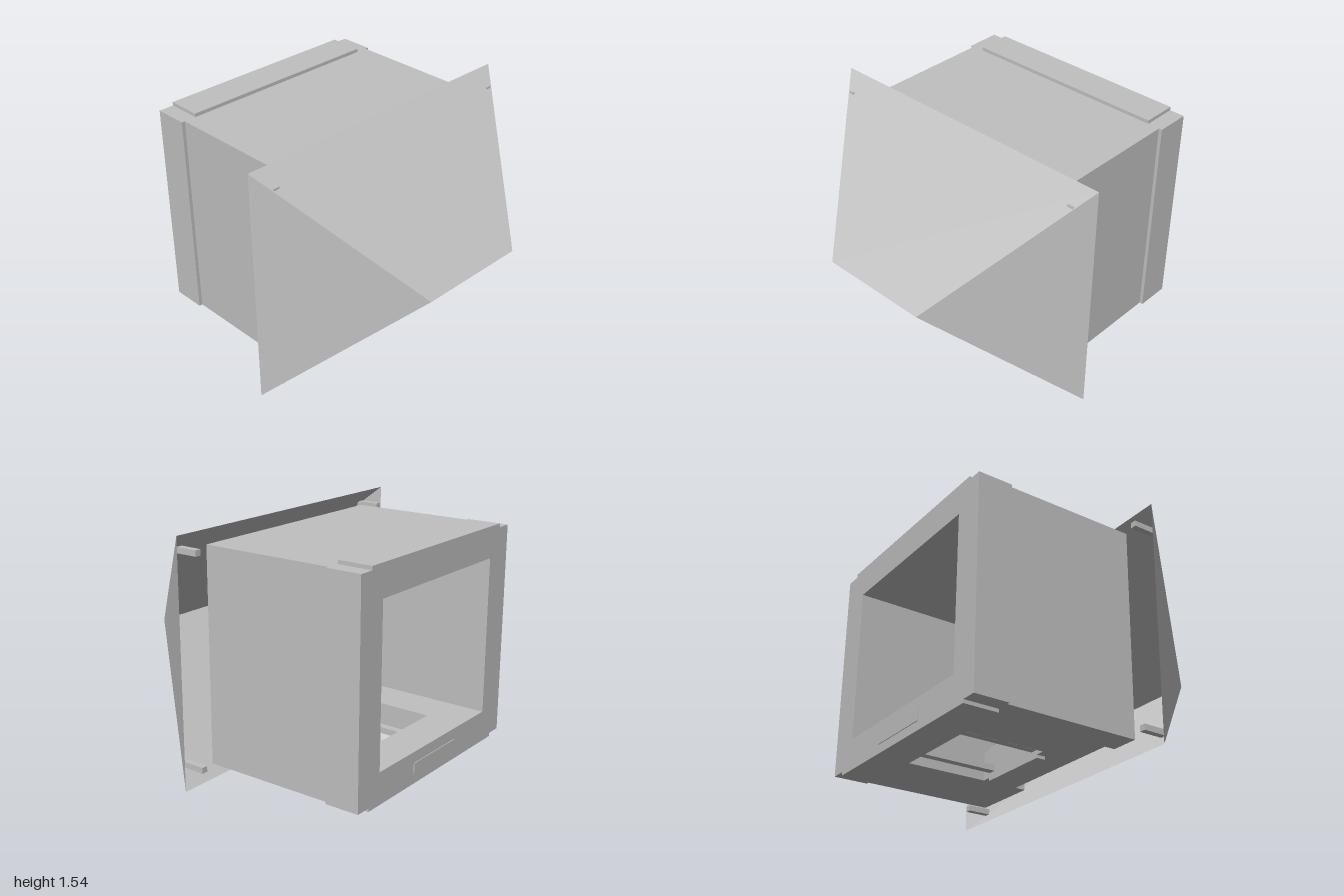
import * as THREE from 'three';

export function createModel() {
  const group = new THREE.Group();
  const grey = new THREE.MeshStandardMaterial({ color: 0xc0c0c0, side: THREE.DoubleSide });
  grey.name = 'plain grey';

  const add = (name, geometry) => {
    const mesh = new THREE.Mesh(geometry, grey);
    mesh.name = name;
    group.add(mesh);
    return mesh;
  };
  // box given by its limits on each axis
  const box = (name, x0, x1, y0, y1, z0, z1) =>
    add(name, new THREE.BoxGeometry(x1 - x0, y1 - y0, z1 - z0))
      .position.set((x0 + x1) / 2, (y0 + y1) / 2, (z0 + z1) / 2);
  const outline = (points) => points.map(([x, y]) => new THREE.Vector2(x, y));
  const rect = (x0, x1, y0, y1) => new THREE.Path(outline([[x0, y0], [x0, y1], [x1, y1], [x1, y0]]));
  const extrude = (shape, depth) => new THREE.ExtrudeGeometry(shape, { depth, bevelEnabled: false });

  // hollow front hood: four sloping sheets rising from a rectangle to a ridge
  const A = [-1, 0, 0.16], B = [1, 0, 0.16], C = [1, 1.545, 0.16], D = [-1, 1.545, 0.16];
  const L = [-0.364, 0.773, 0.932], R = [0.364, 0.773, 0.932];
  const faces = [[A, B, R], [A, R, L], [B, C, R], [C, D, L], [C, L, R], [D, A, L]];
  const hood = new THREE.BufferGeometry();
  hood.setAttribute('position', new THREE.Float32BufferAttribute(faces.flat(2), 3));
  hood.computeVertexNormals();
  add('hood', hood);

  // side walls and roof of the body
  const walls = new THREE.Shape(outline([
    [-0.763, 0.28], [-0.763, 1.455], [0.763, 1.455], [0.763, 0.28],
    [0.58, 0.28], [0.58, 1.28], [-0.58, 1.28], [-0.58, 0.28],
  ]));
  add('bodyWalls', extrude(walls, 0.87)).position.z = -0.71;

  // thick floor with a front notch and a through opening (shape y is -z)
  const floor = new THREE.Shape(outline([
    [-0.763, 0.71], [-0.763, -0.16], [-0.58, -0.16], [-0.58, -0.09],
    [0.31, -0.09], [0.31, -0.16], [0.763, -0.16], [0.763, 0.71],
  ]));
  floor.holes.push(rect(-0.31, 0.31, 0.15, 0.69));
  const floorGeometry = extrude(floor, 0.18);
  floorGeometry.rotateX(-Math.PI / 2);
  add('floor', floorGeometry).position.y = 0.1;

  // rear collar, raised on all four sides with stepped corners
  const collar = new THREE.Shape(outline([
    [-0.685, 0.078], [0.685, 0.078], [0.685, 0.1], [0.785, 0.1], [0.785, 1.455], [0.685, 1.455],
    [0.685, 1.478], [-0.685, 1.478], [-0.685, 1.455], [-0.785, 1.455], [-0.785, 0.1], [-0.685, 0.1],
  ]));
  collar.holes.push(rect(-0.58, 0.58, 0.28, 1.28));
  add('rearCollar', extrude(collar, 0.222)).position.z = -0.932;

  // thin plate on the rear frame
  box('rearPlate', -0.225, 0.225, 0.135, 0.21, -0.937, -0.93);

  // cross clip through the floor
  box('floorClip', -0.25, 0.25, 0.08, 0.3, -0.15, -0.09);

  for (const side of [-1, 1]) {
    // rails across the floor opening
    const rail = side * 0.22;
    box('floorRail', rail - 0.025, rail + 0.025, 0.13, 0.17, -0.71, -0.14);
    // corner pins passing through the hood
    const pin = side * 0.89;
    for (const y of [0.1, 1.418]) box('cornerPin', pin - 0.02, pin + 0.02, y, y + 0.037, 0.105, 0.262);
  }
  return group;
}
